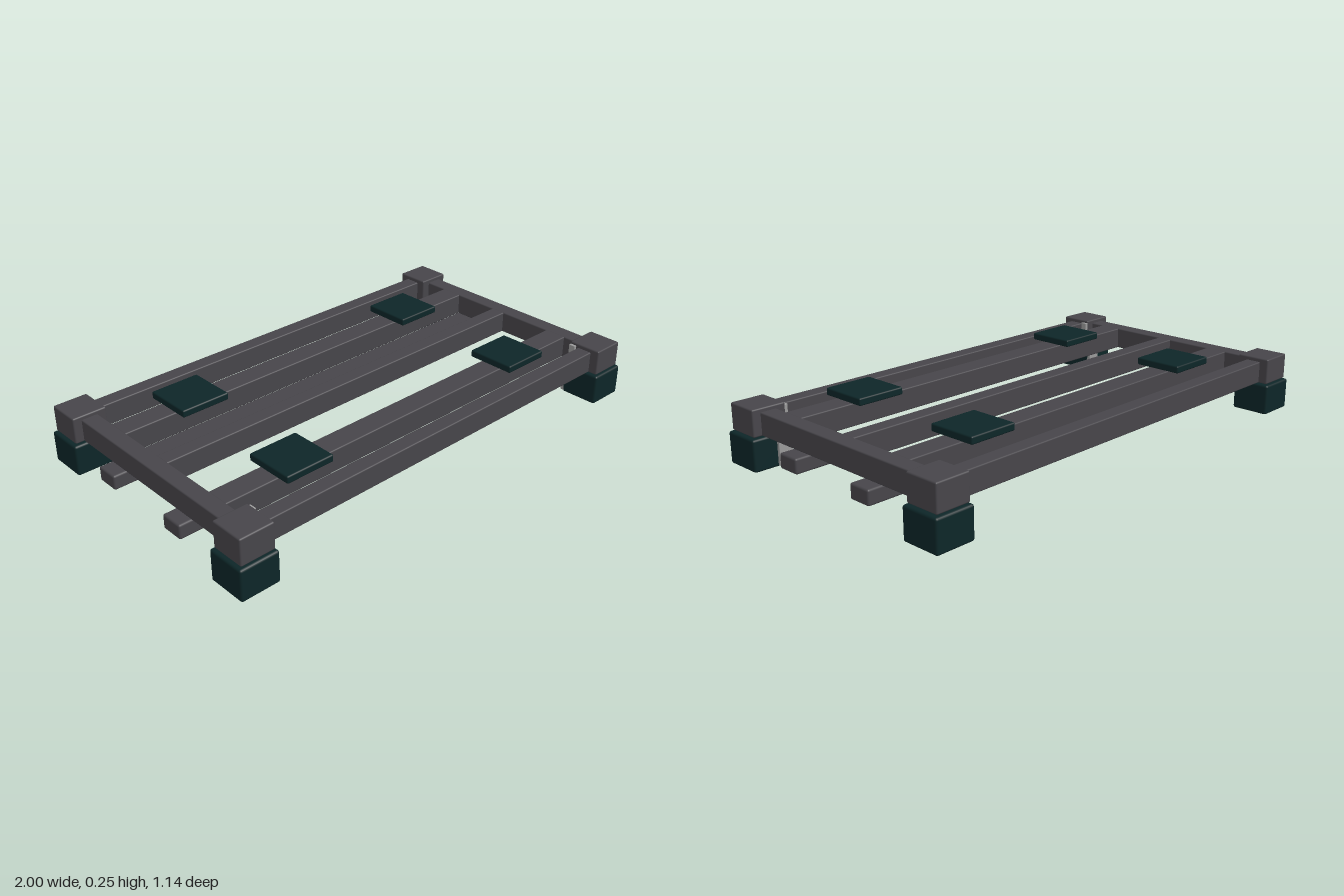
import * as THREE from 'three';
import { RoundedBoxGeometry } from 'three/addons/geometries/RoundedBoxGeometry.js';

export function createModel() {
  const model = new THREE.Group();
  const mat = (name, color) => {
    const m = new THREE.MeshStandardMaterial({ color });
    m.name = name;
    return m;
  };
  const frame = mat('charcoal frame', 0x47454a);
  const rubber = mat('dark green rubber', 0x0d2628);
  const metal = mat('light grey metal', 0x9a9a9a);

  // Softly bevelled block given by its extents
  const block = (name, material, [x0, x1], [y0, y1], [z0, z1], r = 0.005) => {
    const geo = new RoundedBoxGeometry(x1 - x0, y1 - y0, z1 - z0, 2, r);
    const mesh = new THREE.Mesh(geo, material);
    mesh.name = name;
    mesh.position.set((x0 + x1) / 2, (y0 + y1) / 2, (z0 + z1) / 2);
    model.add(mesh);
    return mesh;
  };
  // Extents mirrored to the side s
  const side = (s, a, b) => (s > 0 ? [a, b] : [-b, -a]);
  const beamY = [0.13, 0.22];

  for (const s of [1, -1]) {
    // Long outer beams, side beams and the lower rails
    block(s > 0 ? 'frontBeam' : 'backBeam', frame, [-0.86, 0.86], beamY, side(s, 0.457, 0.522));
    block('sideBeam', frame, side(s, 0.885, 0.953), beamY, [-0.43, 0.43]);
    block('lowerRail', frame, [-1, 1], [0.066, 0.125], side(s, 0.15, 0.245), 0.008);

    // Corner blocks on rubber feet
    for (const f of [1, -1]) {
      block('cornerBlock', frame, side(s, 0.848, 0.988), [0.13, 0.236], side(f, 0.42, 0.56), 0.006);
      block('foot', rubber, side(s, 0.84, 1), [0, 0.126], side(f, 0.41, 0.57), 0.009);
    }

    // Metal brackets at the inside of the front corners
    block('bracketLeg', metal, side(s, 0.842, 0.9), [0.005, 0.13], [0.398, 0.43], 0.002);
    block('bracketPlate', metal, side(s, 0.826, 0.89), [0.125, 0.134], [0.396, 0.45], 0.002);
    block('bracketTop', metal, side(s, 0.836, 0.886), [0.134, 0.226], [0.422, 0.45], 0.002);
  }

  // Inner slats and the pads resting on them
  block('centreSlat', frame, [-0.89, 0.89], beamY, [-0.034, 0.03]);
  const slats = [
    { z: [0.264, 0.36], pad: [0.212, 0.414] },
    { z: [-0.325, -0.23], pad: [-0.378, -0.175] },
  ];
  for (const { z, pad } of slats) {
    block('slat', frame, [-0.89, 0.89], beamY, z);
    for (const x of [[-0.674, -0.468], [0.464, 0.668]]) {
      block('pad', rubber, x, [0.221, 0.251], pad, 0.006);
    }
  }
  return model;
}
